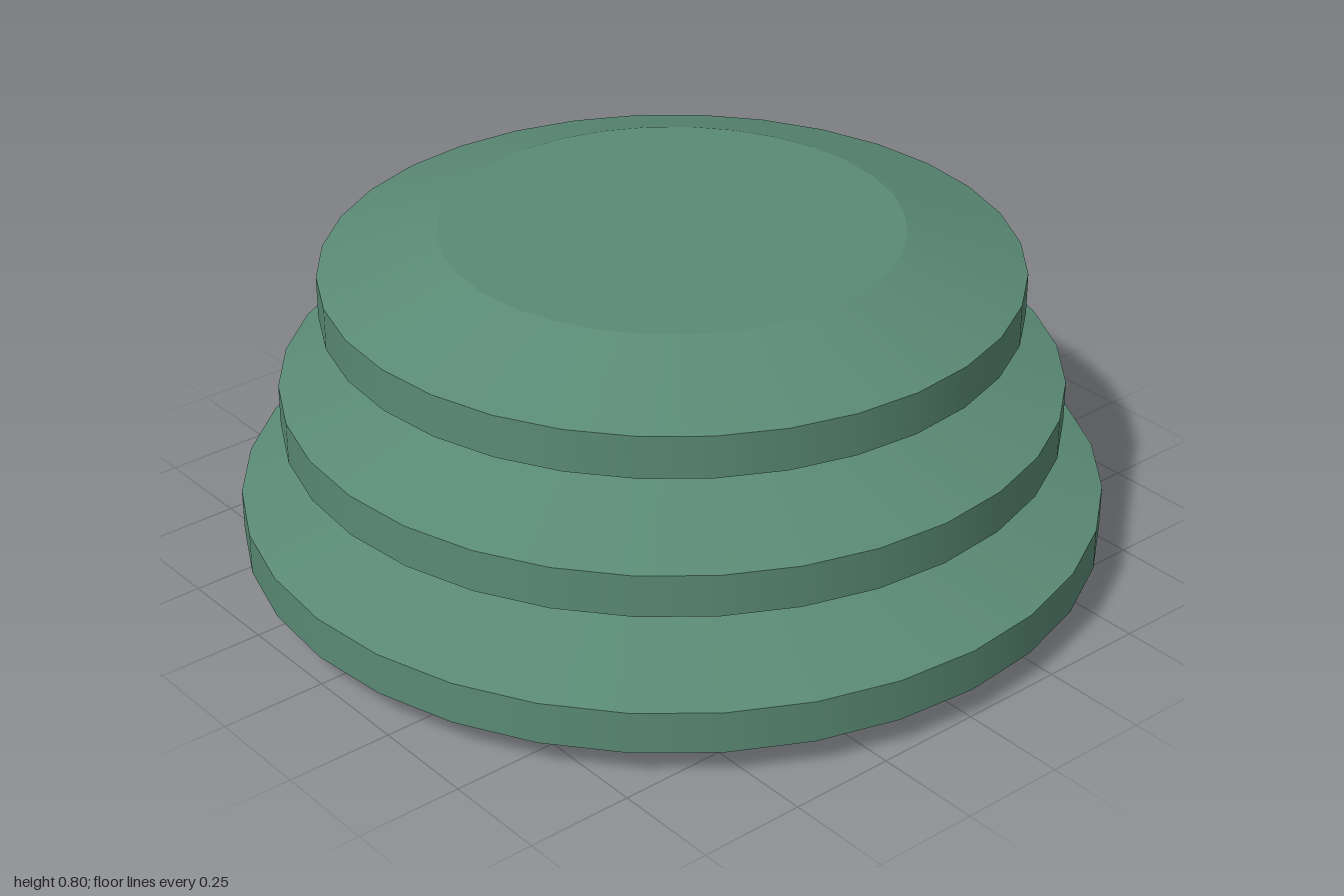
import * as THREE from 'three';
import { mergeGeometries } from 'three/addons/utils/BufferGeometryUtils.js';

const SIDES = 32;

// One bevelled disc: lower bevel, straight rim, upper bevel and two flat caps
function discGeometry(radius) {
  const rings = [[0.7 * radius, 0], [radius, 0.07], [radius, 0.17], [0.66 * radius, 0.26]];
  const parts = [];
  for (let i = 0; i < rings.length - 1; i++) {
    const [r0, y0] = rings[i];
    const [r1, y1] = rings[i + 1];
    parts.push(new THREE.CylinderGeometry(r1, r0, y1 - y0, SIDES, 1, true).translate(0, (y0 + y1) / 2, 0));
  }
  parts.push(new THREE.CircleGeometry(rings[0][0], SIDES).rotateX(Math.PI / 2));
  parts.push(new THREE.CircleGeometry(rings[3][0], SIDES).rotateX(-Math.PI / 2).translate(0, rings[3][1], 0));
  return mergeGeometries(parts);
}

export function createModel() {
  const model = new THREE.Group();
  model.name = 'stackedDiscs';
  const green = new THREE.MeshStandardMaterial({ color: 0x5a8a75 });
  green.name = 'mutedGreen';

  // Three discs, shrinking upwards with a narrow gap between them
  ['lowerDisc', 'middleDisc', 'upperDisc'].forEach((name, i) => {
    const disc = new THREE.Mesh(discGeometry(1 - 0.1 * i), green);
    disc.name = name;
    disc.position.y = 0.272 * i;
    model.add(disc);
  });
  return model;
}
